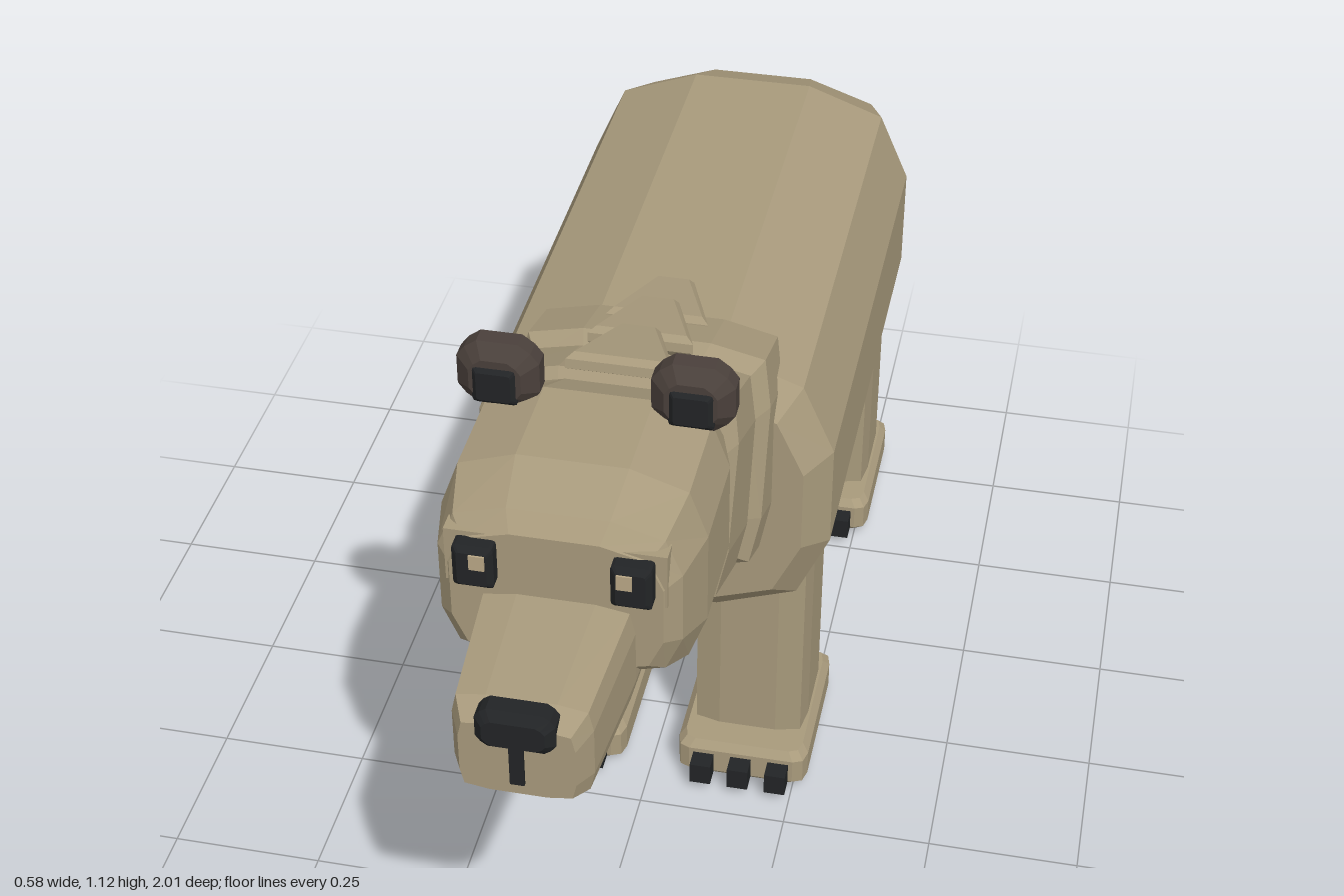
import * as THREE from 'three';

const mat = (name, color) => {
  const m = new THREE.MeshStandardMaterial({ color });
  m.name = name;
  return m;
};

// Cross-section outlines: upper right quarter, mirrored to a 12-sided ring
const ROUND = [[1, 0.35], [0.82, 0.81], [0.36, 1]];
const BOXY = [[1, 0.5], [0.93, 0.91], [0.5, 1]];
const SQUARE = [[1, 0.8], [0.95, 0.95], [0.8, 1]];

function outline(q) {
  const r = [...q].reverse();
  return [...q, ...r.map(([x, y]) => [-x, y]),
    ...q.map(([x, y]) => [-x, -y]), ...r.map(([x, y]) => [x, -y])];
}

// Faceted loft along +z. Section: [z, y, half width, half height, backward tilt]
function loft(sections, quarter = ROUND) {
  const ring = outline(quarter), n = ring.length, pos = [], idx = [];
  for (const [z, y, w, h, tilt = 0] of sections)
    for (const [px, py] of ring)
      pos.push(px * w, y + py * h * Math.cos(tilt), z - py * h * Math.sin(tilt));
  for (let s = 0; s < sections.length - 1; s++)
    for (let i = 0; i < n; i++) {
      const a = s * n + i, b = s * n + (i + 1) % n;
      idx.push(a, b, b + n, a, b + n, a + n);
    }
  const last = (sections.length - 1) * n;
  for (let i = 1; i < n - 1; i++) idx.push(0, i + 1, i, last, last + i, last + i + 1);
  const g = new THREE.BufferGeometry();
  g.setAttribute('position', new THREE.Float32BufferAttribute(pos, 3));
  g.setIndex(idx);
  const flat = g.toNonIndexed();
  flat.computeVertexNormals();
  return flat;
}

// Block with bevelled edges, centred on the origin
function block(w, h, d, bevel, quarter = SQUARE) {
  const x = w / 2, y = h / 2, z = d / 2;
  return loft([[-z, 0, x - bevel, y - bevel], [-z + bevel, 0, x, y],
    [z - bevel, 0, x, y], [z, 0, x - bevel, y - bevel]], quarter);
}

export function createModel() {
  const bear = new THREE.Group();
  bear.name = 'bear';
  const fur = mat('fur', 0xa89a7c);
  const earBrown = mat('earBrown', 0x4a403b);
  const black = mat('black', 0x222426);
  const glint = mat('eyeGlint', 0xb9a786);

  const add = (name, geo, material, x = 0, y = 0, z = 0, parent = bear) => {
    const m = new THREE.Mesh(geo, material);
    m.name = name;
    m.position.set(x, y, z);
    parent.add(m);
    return m;
  };
  const box = (w, h, d) => new THREE.BoxGeometry(w, h, d);

  // Trunk
  add('body', loft([
    [-0.90, 0.615, 0.15, 0.10], [-0.84, 0.615, 0.25, 0.208], [-0.73, 0.615, 0.29, 0.256],
    [0.12, 0.615, 0.29, 0.256], [0.17, 0.615, 0.25, 0.208]]), fur);

  // Overlapping neck segments, leaning forward
  add('lowerNeck', loft([
    [0.09, 0.69, 0.18, 0.17, 0.39], [0.13, 0.715, 0.20, 0.19, 0.38],
    [0.235, 0.755, 0.20, 0.18, 0.35], [0.275, 0.765, 0.175, 0.155, 0.32]], BOXY), fur);
  add('upperNeck', loft([
    [0.25, 0.755, 0.165, 0.15, 0.32], [0.28, 0.77, 0.185, 0.168, 0.32],
    [0.43, 0.835, 0.185, 0.165, 0.45], [0.48, 0.845, 0.16, 0.145, 0.45]], BOXY), fur);

  // Tapered plates along the nape, wide end forward
  const plateShape = new THREE.Shape(
    [[-0.07, -0.06], [0.07, -0.06], [0.025, 0.06], [-0.025, 0.06]]
      .map(([x, y]) => new THREE.Vector2(x, y)));
  const plateGeo = new THREE.ExtrudeGeometry(plateShape, {
    depth: 0.015, bevelEnabled: true, bevelThickness: 0.01, bevelSize: 0.01, bevelSegments: 1 });
  plateGeo.rotateX(-Math.PI / 2);
  [[0.882, 0.035, 0.12], [0.925, 0.155, 0.15], [0.97, 0.295, 0.2]].forEach(([y, z, lean], i) => {
    add('napePlate' + (i + 1), plateGeo, fur, 0, y, z).rotation.x = -lean;
  });

  // Head and snout
  add('head', loft([
    [0.41, 0.885, 0.165, 0.115], [0.49, 0.866, 0.19, 0.175], [0.65, 0.866, 0.19, 0.175],
    [0.735, 0.88, 0.172, 0.135], [0.76, 0.88, 0.15, 0.11]],
  [[1, 0.42], [0.86, 0.84], [0.42, 1]]), fur);
  add('snout', loft([
    [0.70, 0.80, 0.112, 0.088], [0.76, 0.80, 0.111, 0.086],
    [0.95, 0.797, 0.097, 0.076], [0.985, 0.795, 0.08, 0.06]], BOXY), fur);
  add('nose', block(0.11, 0.066, 0.05, 0.012, [[1, 0.5], [0.87, 0.8], [0.7, 1]]),
    black, 0, 0.851, 0.975);
  add('mouthLine', box(0.02, 0.07, 0.008), black, 0, 0.79, 0.986);

  // Eyes and ears
  const socketGeo = box(0.085, 0.088, 0.03);
  const eyeGeo = block(0.058, 0.07, 0.05, 0.008);
  const earGeo = loft([[-0.04, 0, 0.034, 0.028], [-0.012, 0, 0.06, 0.053],
    [0.015, 0, 0.06, 0.053], [0.036, 0, 0.038, 0.034]], [[1, 0.45], [0.8, 0.75], [0.5, 1]]);
  const innerEarGeo = block(0.066, 0.062, 0.04, 0.008);
  for (const side of [1, -1]) {
    const tag = side > 0 ? 'left' : 'right';
    add(tag + 'EyeSocket', socketGeo, fur, side * 0.113, 0.94, 0.743);
    add(tag + 'Eye', eyeGeo, black, side * 0.11, 0.941, 0.761);
    add(tag + 'EyeGlint', box(0.022, 0.024, 0.006), glint, side * 0.102, 0.955, 0.786);
    add(tag + 'Ear', earGeo, earBrown, side * 0.14, 1.069, 0.495);
    add(tag + 'InnerEar', innerEarGeo, black, side * 0.141, 1.062, 0.517);
  }

  // Legs with feet, soles and claws
  const legGeo = loft([[0.06, 0, 0.098, 0.112], [0.46, 0, 0.098, 0.112],
    [0.53, 0, 0.08, 0.09]], BOXY).rotateX(-Math.PI / 2);
  const footGeo = loft([[0.008, 0, 0.103, 0.135], [0.02, 0, 0.113, 0.145],
    [0.066, 0, 0.113, 0.145], [0.08, 0, 0.102, 0.134]], SQUARE).rotateX(-Math.PI / 2);
  const soleGeo = box(0.17, 0.009, 0.22);
  const clawGeo = box(0.036, 0.04, 0.05);
  for (const [pair, z] of [['front', 0], ['back', -0.712]])
    for (const side of [1, -1]) {
      const leg = new THREE.Group();
      leg.name = pair + (side > 0 ? 'LeftLeg' : 'RightLeg');
      leg.position.set(side * 0.16, 0, z);
      bear.add(leg);
      add('shin', legGeo, fur, 0, 0, 0, leg);
      add('foot', footGeo, fur, 0, 0, 0.027, leg);
      add('sole', soleGeo, black, 0, 0.0045, 0.027, leg);
      for (const i of [-1, 0, 1]) add('claw', clawGeo, black, i * 0.065, 0.038, 0.18, leg);
    }

  // Stubby two-lobed tail, hanging back and down
  const tail = add('tail', loft([
    [-0.03, 0, 0.025, 0.025], [0, 0, 0.055, 0.05], [0.04, 0, 0.055, 0.05],
    [0.065, 0, 0.038, 0.034], [0.08, 0, 0.044, 0.042], [0.115, 0, 0.044, 0.042],
    [0.14, 0, 0.022, 0.022]], [[1, 0.4], [0.75, 0.75], [0.4, 1]]), fur, 0, 0.72, -0.895);
  tail.rotation.x = Math.PI - 0.83;

  return bear;
}
